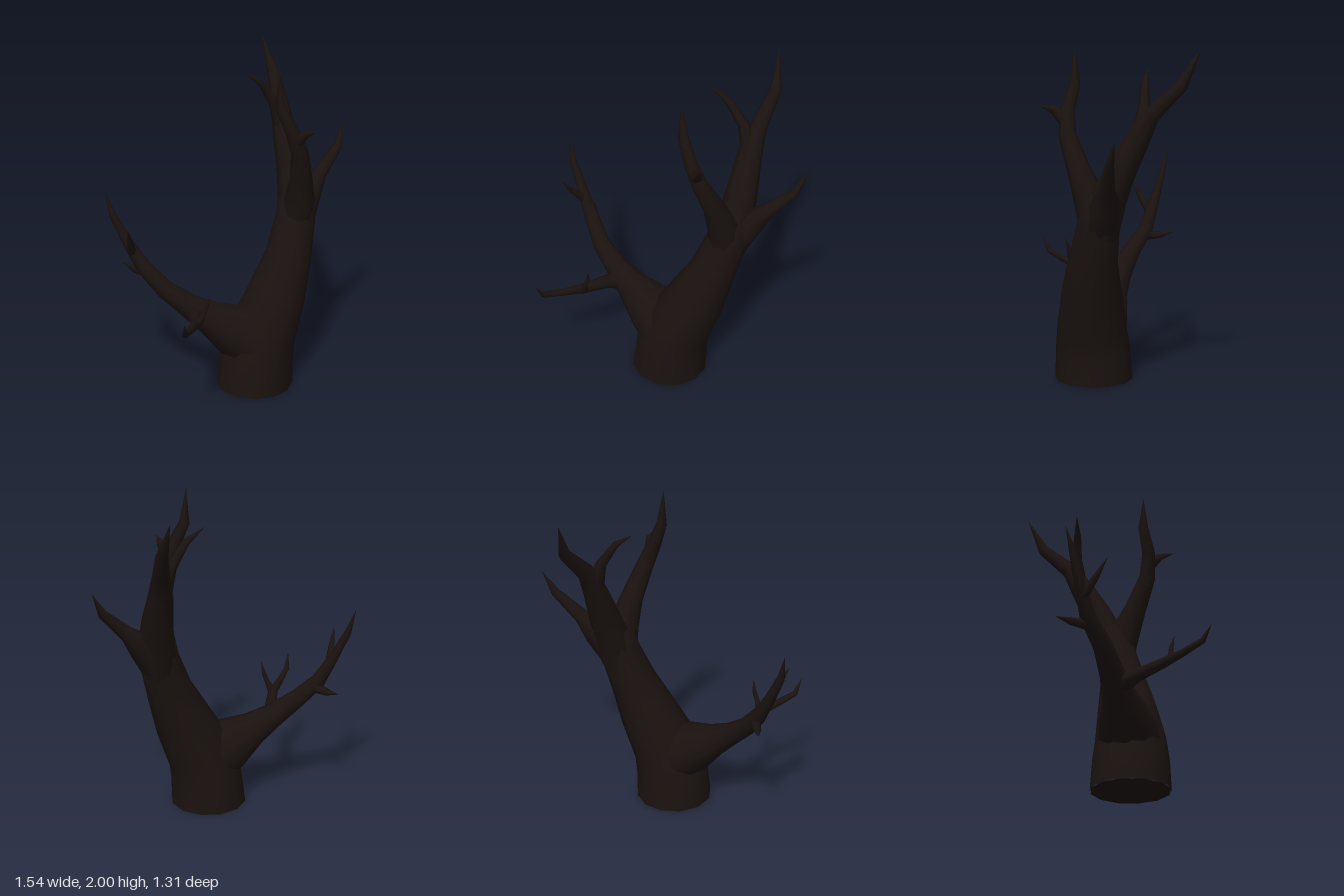
import * as THREE from 'three';

const bark = new THREE.MeshStandardMaterial({ color: 0x1a120f });

// Tapered limb through rings [x, y, z, radius]; a radius of 0 ends it in a point.
function limb(name, rings, sides = 8, upright = false) {
  const pts = rings.map(([x, y, z]) => new THREE.Vector3(x, y, z));
  const position = [], index = [];
  const normal = new THREE.Vector3(1, 0, 0.3);
  rings.forEach((ring, i) => {
    const before = pts[Math.max(i - 1, 0)], after = pts[Math.min(i + 1, pts.length - 1)];
    const tangent = after.clone().sub(before).normalize();
    if (upright && i === 0) tangent.set(0, 1, 0);
    // Carry the frame along the limb so that it does not twist
    normal.addScaledVector(tangent, -normal.dot(tangent)).normalize();
    const side = tangent.clone().cross(normal);
    for (let j = 0; j < sides; j++) {
      const a = (j / sides) * Math.PI * 2;
      const p = pts[i].clone()
        .addScaledVector(normal, Math.cos(a) * ring[3])
        .addScaledVector(side, Math.sin(a) * ring[3]);
      position.push(p.x, p.y, p.z);
      if (i === 0) continue;
      const k = (j + 1) % sides, lo = (i - 1) * sides, hi = i * sides;
      index.push(lo + j, lo + k, hi + k);
      if (ring[3] > 0) index.push(lo + j, hi + k, hi + j);
    }
  });
  const geometry = new THREE.BufferGeometry();
  geometry.setAttribute('position', new THREE.Float32BufferAttribute(position, 3));
  geometry.setIndex(index);
  geometry.computeVertexNormals();
  const mesh = new THREE.Mesh(geometry, bark);
  mesh.name = name;
  return mesh;
}

export function createModel() {
  const tree = new THREE.Group();
  tree.name = 'bareTree';

  // Trunk, leaning to its left, and its flat underside
  tree.add(limb('trunk', [
    [0.085, 0, 0.08, 0.235], [0.1, 0.19, 0.08, 0.225], [0.14, 0.34, 0.07, 0.208],
    [0.245, 0.57, 0.03, 0.178], [0.325, 0.78, -0.01, 0.142], [0.385, 1.0, -0.065, 0.122],
    [0.4, 1.14, -0.08, 0.11], [0.4, 1.21, -0.08, 0.03], [0.4, 1.22, -0.08, 0],
  ], 12, true));
  const base = new THREE.Mesh(new THREE.CircleGeometry(0.235, 12), bark);
  base.name = 'trunkBase';
  base.rotation.x = Math.PI / 2;
  base.position.set(0.085, 0, 0.08);
  tree.add(base);

  // Crown: front fork, back fork and side branch
  tree.add(limb('frontFork', [
    [0.385, 0.95, -0.06, 0.1], [0.39, 1.14, -0.01, 0.092], [0.375, 1.3, 0.06, 0.068],
    [0.335, 1.49, 0.145, 0.052], [0.28, 1.63, 0.165, 0.042], [0.213, 1.78, 0.145, 0.032],
    [0.2, 1.99, 0.15, 0],
  ]));
  tree.add(limb('frontForkTwig', [
    [0.31, 1.56, 0.16, 0.04], [0.35, 1.635, 0.225, 0.024], [0.37, 1.66, 0.31, 0],
  ], 6));
  tree.add(limb('backFork', [
    [0.385, 0.93, -0.07, 0.11], [0.405, 1.14, -0.13, 0.108], [0.4, 1.3, -0.2, 0.092],
    [0.385, 1.48, -0.295, 0.073], [0.385, 1.62, -0.375, 0.052], [0.39, 1.79, -0.555, 0.036],
    [0.35, 2.0, -0.655, 0],
  ]));
  tree.add(limb('backForkTwig', [
    [0.375, 1.5, -0.31, 0.055], [0.325, 1.66, -0.315, 0.034], [0.24, 1.79, -0.29, 0.022],
    [0.13, 1.87, -0.27, 0],
  ], 6));
  tree.add(limb('sideBranch', [
    [0.4, 0.97, -0.08, 0.1], [0.49, 1.13, -0.15, 0.088], [0.575, 1.22, -0.185, 0.046],
    [0.715, 1.37, -0.25, 0.027], [0.77, 1.51, -0.3, 0],
  ]));

  // Large low limb on the right, with its twigs
  tree.add(limb('lowLimb', [
    [0.09, 0.3, 0.08, 0.2], [-0.05, 0.375, 0.078, 0.165], [-0.2, 0.475, 0.072, 0.103],
    [-0.32, 0.56, 0.06, 0.074], [-0.46, 0.675, 0.035, 0.056], [-0.575, 0.81, -0.025, 0.046],
    [-0.655, 0.96, -0.05, 0.032], [-0.737, 1.135, -0.075, 0.021], [-0.775, 1.29, -0.11, 0],
  ], 10));
  tree.add(limb('upperTwig', [
    [-0.635, 0.9, -0.04, 0.03], [-0.665, 1.01, 0.045, 0.018], [-0.69, 1.11, 0.115, 0],
  ], 6));
  tree.add(limb('rearTwig', [
    [-0.54, 0.77, -0.01, 0.035], [-0.615, 0.77, -0.11, 0.022], [-0.67, 0.785, -0.19, 0],
  ], 6));
  tree.add(limb('forwardBranch', [
    [-0.27, 0.5, 0.07, 0.065], [-0.32, 0.54, 0.2, 0.04], [-0.355, 0.588, 0.36, 0.03],
    [-0.42, 0.61, 0.48, 0.022], [-0.48, 0.645, 0.6, 0.018], [-0.497, 0.735, 0.655, 0],
  ]));
  tree.add(limb('forwardTwig', [
    [-0.355, 0.58, 0.37, 0.028], [-0.325, 0.64, 0.395, 0.016], [-0.302, 0.7, 0.395, 0.013],
    [-0.285, 0.78, 0.412, 0],
  ], 6));

  return tree;
}
